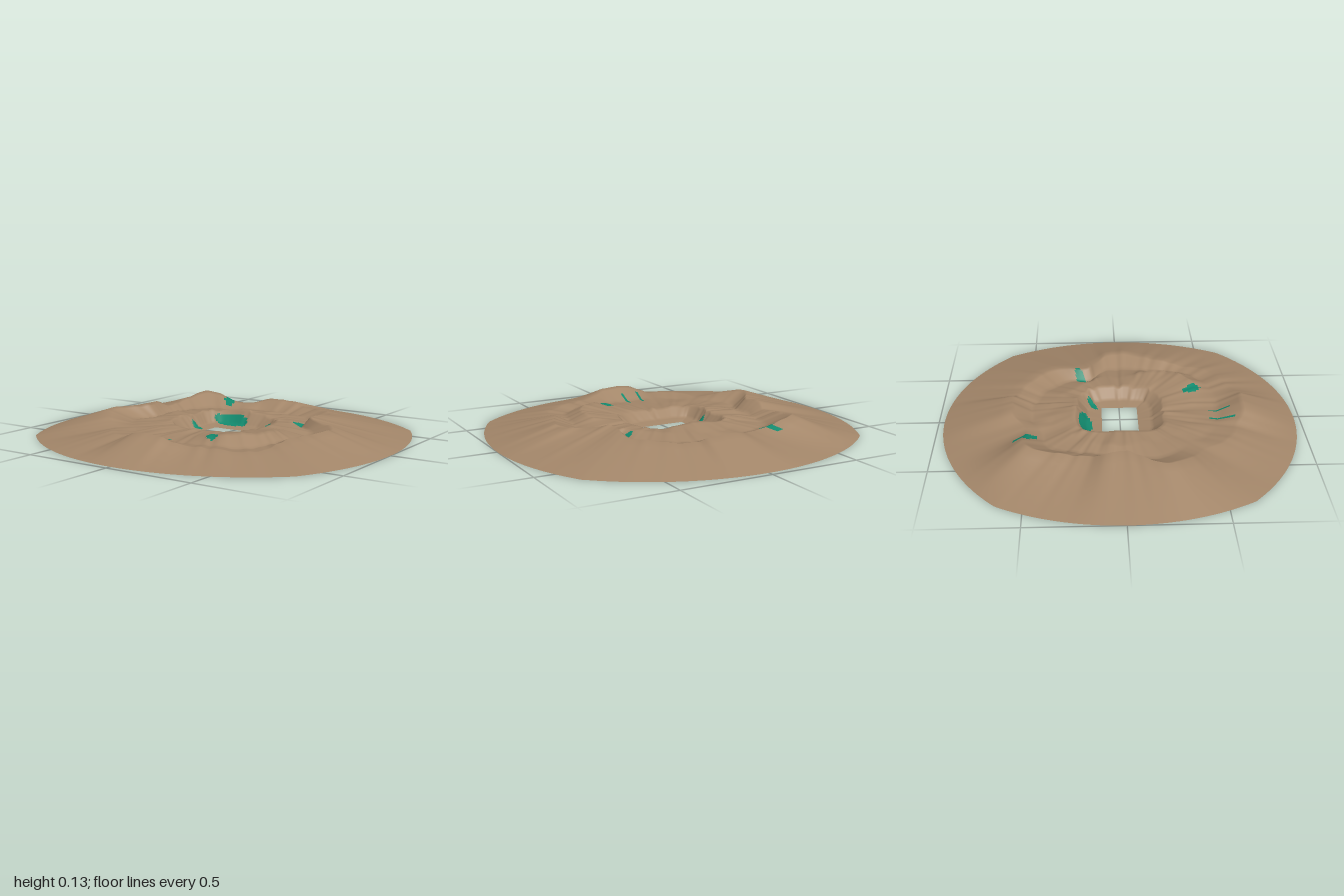
import * as THREE from 'three';

const PER_SIDE = 80, COLS = PER_SIDE * 4, STEPS = 6;

// Outer mountain crest, every 22.5 degrees from +x toward +z: [radius, height]
const CREST = [
  [0.68, 0.1], [0.62, 0.08], [0.72, 0.05], [0.68, 0.065], [0.68, 0.112], [0.67, 0.065], [0.62, 0.06], [0.68, 0.108],
  [0.53, 0.122], [0.56, 0.085], [0.67, 0.122], [0.57, 0.08], [0.59, 0.105], [0.6, 0.075], [0.6, 0.09], [0.46, 0.105],
];
// Broken ridge between rim and crest, every 45 degrees: [radius, height]
const SHOULDER = [[0.4, 0.068], [0.51, 0.1], [0.4, 0.052], [0.38, 0.062], [0.38, 0.075], [0.38, 0.06], [0.38, 0.062], [0.36, 0.068]];
// Inner crater rim, every 45 degrees: [radius, height]
const RIM = [[0.27, 0.07], [0.29, 0.068], [0.24, 0.058], [0.29, 0.065], [0.25, 0.078], [0.3, 0.072], [0.24, 0.09], [0.28, 0.068]];

// Mineral patches: [x, z, direction of the long axis, half length, half width]
const PATCHES = [
  [-0.09, -0.19, 0, 0.11, 0.035], [0.15, -0.15, -0.5, 0.045, 0.018], [0.38, -0.21, -0.5, 0.06, 0.024],
  [-0.31, -0.5, 0.9, 0.06, 0.028], [-0.19, 0, 0, 0.033, 0.02], [0.21, 0.42, 0.9, 0.055, 0.03],
  [-0.1, 0.55, 1.75, 0.07, 0.007], [-0.01, 0.56, 1.6, 0.065, 0.007],
];

// Smooth lookup in a table that closes on itself
function sample(table, turn, k) {
  const p = turn * table.length, i = Math.floor(p), n = table.length;
  const s = (1 - Math.cos((p - i) * Math.PI)) / 2;
  return THREE.MathUtils.lerp(table[i % n][k], table[(i + 1) % n][k], s);
}

// Seeded closed noise in -1..1
function makeNoise(count, seed) {
  const values = Array.from({ length: count }, () => {
    seed = (seed * 16807) % 2147483647;
    return [seed / 1073741823.5 - 1];
  });
  return (turn) => sample(values, turn, 0);
}

// Rectangular opening and bowed outer edge at one column
function edges(col) {
  const side = Math.floor(col / PER_SIDE), t = ((col % PER_SIDE) / PER_SIDE) * 2 - 1;
  const sign = side < 2 ? 1 : -1;
  let inner, outer;
  if (side % 2 === 0) {
    const a = t * Math.asin(0.64 / 1.23);
    inner = [0.135, 0.1 * t];
    outer = [1.23 * Math.cos(a) - 0.23, 1.23 * Math.sin(a)];
  } else {
    const a = t * Math.asin(0.82 / 1.18);
    inner = [-0.135 * t, 0.1];
    outer = [-1.18 * Math.sin(a), 1.18 * Math.cos(a) - 0.21];
  }
  return [inner, outer].map(([x, z]) => new THREE.Vector2(x * sign, z * sign));
}

function inPatch(x, z) {
  return PATCHES.some(([px, pz, a, len, wid]) => {
    const dx = x - px, dz = z - pz;
    const u = (dx * Math.cos(a) + dz * Math.sin(a)) / len;
    const v = (dz * Math.cos(a) - dx * Math.sin(a)) / wid;
    return u * u + v * v < 1;
  });
}

export function createModel() {
  const coarse = makeNoise(40, 17), fine = makeNoise(110, 91), rough = makeNoise(60, 423), dip = makeNoise(30, 77);
  const positions = [];
  let rows = 0;

  // Each column runs floor, rim, shoulder, valley, crest and foot from opening to edge
  for (let c = 0; c < COLS; c++) {
    const [inner, outer] = edges(c);
    const mid = inner.clone().lerp(outer, 0.4);
    const turn = (Math.atan2(mid.y, mid.x) / (2 * Math.PI) + 1) % 1;
    const r0 = inner.length(), r1 = outer.length();
    const crest = sample(CREST, turn, 0) + 0.015 * coarse(turn);
    const shoulder = sample(SHOULDER, turn, 0) + 0.012 * dip(turn);
    const rim = sample(RIM, turn, 0) + 0.01 * rough(turn);
    const profile = [
      [r0, 0],
      [THREE.MathUtils.lerp(r0, rim, 0.55), 0.012],
      [rim, sample(RIM, turn, 1) + 0.007 * rough(turn)],
      [shoulder, sample(SHOULDER, turn, 1) + 0.006 * coarse(turn) + 0.003 * fine(turn)],
      [THREE.MathUtils.lerp(shoulder, crest, 0.5), 0.05 + 0.006 * dip(turn) + 0.003 * fine(turn)],
      [crest, sample(CREST, turn, 1) + 0.006 * coarse(turn) + 0.004 * fine(turn)],
      [r1, 0],
    ];
    rows = (profile.length - 1) * STEPS + 1;
    for (let j = 0; j < rows; j++) {
      const k = Math.min(Math.floor(j / STEPS), profile.length - 2), s = j / STEPS - k;
      const r = THREE.MathUtils.lerp(profile[k][0], profile[k + 1][0], s);
      const y = THREE.MathUtils.lerp(profile[k][1], profile[k + 1][1], s);
      const p = inner.clone().lerp(outer, (r - r0) / (r1 - r0));
      positions.push(p.x, y, p.y);
    }
  }

  // Sort the faces into bare earth and mineral
  const earth = [], mineral = [];
  for (let c = 0; c < COLS; c++) {
    for (let j = 0; j < rows - 1; j++) {
      const a = c * rows + j, b = ((c + 1) % COLS) * rows + j;
      const x = (positions[a * 3] + positions[b * 3 + 3]) / 2;
      const z = (positions[a * 3 + 2] + positions[b * 3 + 5]) / 2;
      (inPatch(x, z) ? mineral : earth).push(a, b, a + 1, b, b + 1, a + 1);
    }
  }

  // Normals come from the whole surface so the patches blend in
  const whole = new THREE.BufferGeometry();
  whole.setAttribute('position', new THREE.Float32BufferAttribute(positions, 3));
  whole.setIndex([...earth, ...mineral]);
  whole.computeVertexNormals();

  const group = new THREE.Group();
  group.name = 'mountainRing';
  for (const [name, index, color] of [['earthSlopes', earth, 0xa4876a], ['mineralPatches', mineral, 0x128a6e]]) {
    const geometry = whole.clone();
    geometry.setIndex(index);
    const mesh = new THREE.Mesh(geometry, new THREE.MeshStandardMaterial({ color, side: THREE.DoubleSide }));
    mesh.name = name;
    group.add(mesh);
  }
  return group;
}
